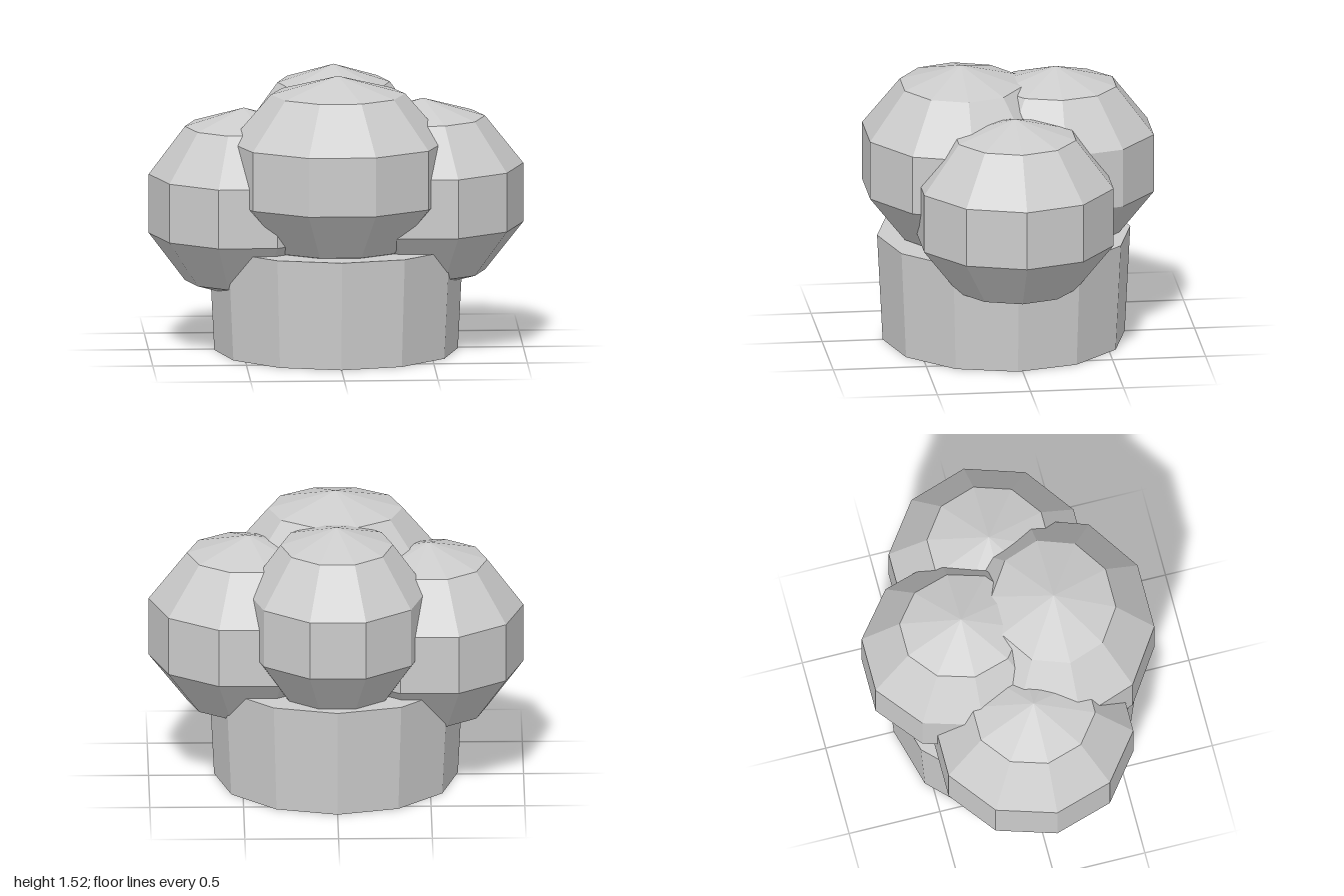
import * as THREE from 'three';

export function createModel() {
  const model = new THREE.Group();
  model.name = 'pottedBush';
  const material = new THREE.MeshStandardMaterial({ color: 0xcccccc, flatShading: true });

  function add(name, geometry, x, y, z) {
    const mesh = new THREE.Mesh(geometry, material);
    mesh.name = name;
    mesh.position.set(x, y, z);
    model.add(mesh);
    return mesh;
  }

  // Tapered twelve-sided pot, closed at both ends
  const potHeight = 0.585;
  add('pot', new THREE.CylinderGeometry(0.68, 0.65, potHeight, 12), 0, potHeight / 2, 0.025);

  // Four overlapping faceted clumps: name, centre, half-width in x
  const clumps = [
    ['frontClump', 0, 1.005, 0.255, 0.61],
    ['backClump', 0, 0.98, -0.255, 0.51],
    ['leftClump', 0.465, 0.84, 0.018, 0.5625],
    ['rightClump', -0.493, 0.795, 0.018, 0.533],
  ];
  for (const [name, x, y, z, halfWidth] of clumps) {
    const clump = add(name, new THREE.SphereGeometry(1, 10, 5), x, y, z);
    clump.scale.set(halfWidth, 0.515, 0.5625);
  }

  return model;
}
